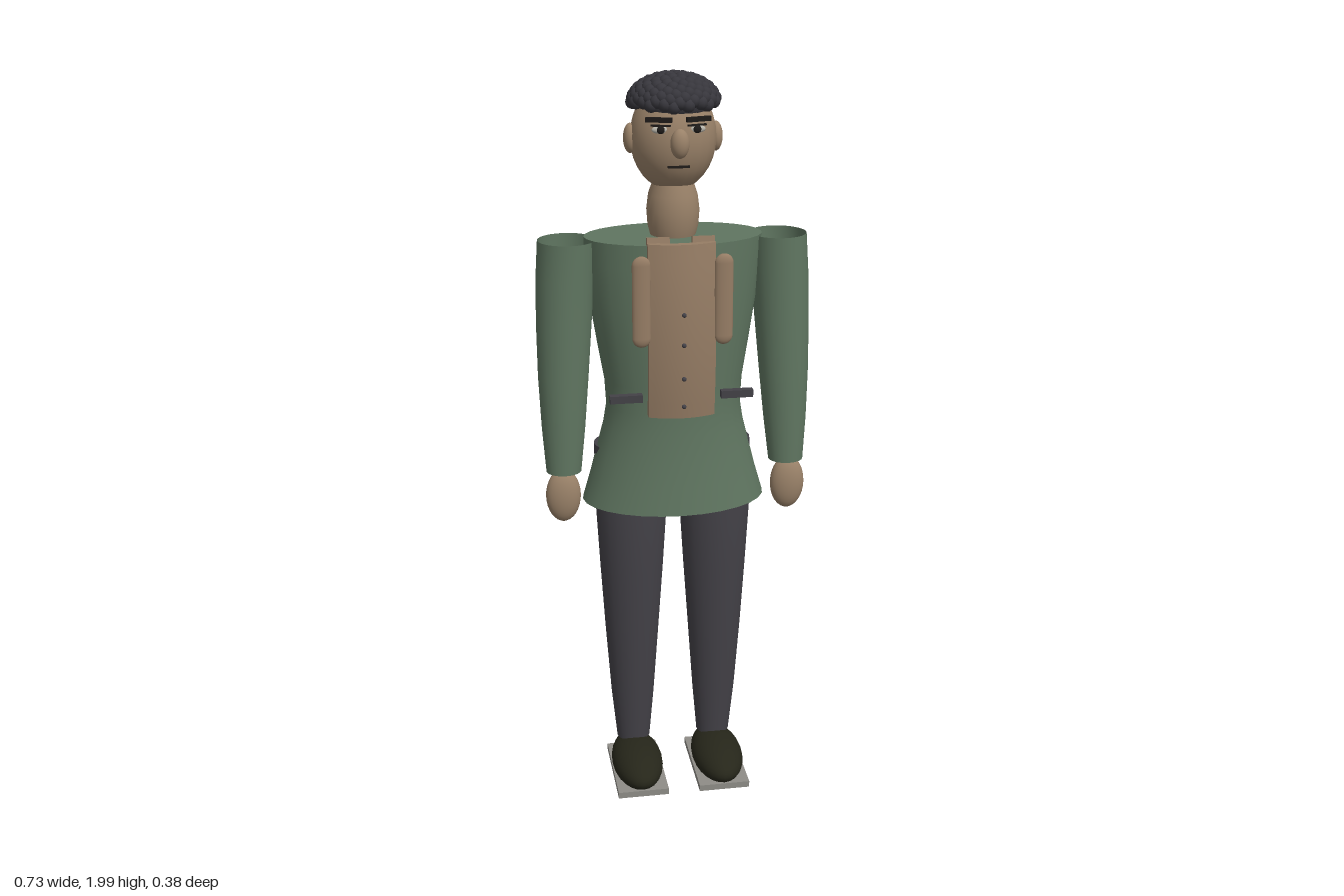
import * as THREE from 'three';

const mat = (name, color, side = THREE.FrontSide) => {
  const m = new THREE.MeshStandardMaterial({ color, side });
  m.name = name;
  return m;
};

// Smooth skin through elliptical rings [y, rx, rz, cx, cz], listed bottom to top
function loft(rings, seg = 28, capped = true) {
  const pos = [], idx = [];
  const addRing = ([y, rx, rz, cx, cz]) => {
    for (let i = 0; i < seg; i++) {
      const a = (i / seg) * Math.PI * 2;
      pos.push(cx + rx * Math.sin(a), y, cz + rz * Math.cos(a));
    }
  };
  rings.forEach(addRing);
  for (let r = 0; r < rings.length - 1; r++) {
    for (let i = 0; i < seg; i++) {
      const a = r * seg + i, b = r * seg + (i + 1) % seg;
      idx.push(a, b, b + seg, a, b + seg, a + seg);
    }
  }
  if (capped) {
    [rings[0], rings[rings.length - 1]].forEach((ring, top) => {
      const start = pos.length / 3;
      addRing(ring);
      pos.push(ring[3], ring[0], ring[4]);
      for (let i = 0; i < seg; i++) {
        const a = start + i, b = start + (i + 1) % seg;
        idx.push(start + seg, ...(top ? [a, b] : [b, a]));
      }
    });
  }
  const g = new THREE.BufferGeometry();
  g.setAttribute('position', new THREE.Float32BufferAttribute(pos, 3));
  g.setIndex(idx);
  g.computeVertexNormals();
  return g;
}

export function createModel() {
  const model = new THREE.Group();
  model.name = 'standingMan';

  const green = mat('coatGreen', 0x5f7560);
  const sleeveGreen = green.clone();
  sleeveGreen.side = THREE.DoubleSide;
  const skin = mat('skin', 0x9a8269);
  const tan = mat('shirtTan', 0x967d65);
  const charcoal = mat('trouserCharcoal', 0x434147);
  const hairMat = mat('hairBlack', 0x37363c);
  const dark = mat('featureDark', 0x1e1b19);
  const shoeMat = mat('shoeBrown', 0x26261a);
  const soleMat = mat('soleGrey', 0x8e8c87);
  const white = mat('eyeWhite', 0xb9b6ac);

  const add = (name, geo, material, x = 0, y = 0, z = 0, parent = model) => {
    const m = new THREE.Mesh(geo, material);
    m.name = name;
    m.position.set(x, y, z);
    parent.add(m);
    return m;
  };
  const ball = (name, material, [rx, ry, rz], x, y, z, parent = model) => {
    const m = add(name, new THREE.SphereGeometry(1, 24, 16), material, x, y, z, parent);
    m.scale.set(rx, ry, rz);
    return m;
  };

  // Flared coat
  add('coat', loft([
    [0.855, 0.25, 0.165, 0, -0.025],
    [0.93, 0.228, 0.155, 0, -0.025],
    [1.0, 0.21, 0.146, 0, -0.025],
    [1.07, 0.192, 0.138, 0, -0.022],
    [1.13, 0.182, 0.133, 0, -0.02],
    [1.2, 0.186, 0.136, 0, -0.021],
    [1.3, 0.203, 0.145, 0, -0.026],
    [1.42, 0.222, 0.15, 0, -0.03],
    [1.52, 0.231, 0.145, 0, -0.027],
    [1.585, 0.234, 0.138, 0, -0.022],
  ]), green);

  // Neck and head
  add('neck', loft([
    [1.58, 0.058, 0.058, 0, -0.025],
    [1.61, 0.066, 0.067, 0, -0.025],
    [1.65, 0.069, 0.07, 0, -0.025],
    [1.69, 0.064, 0.066, 0, -0.025],
    [1.73, 0.05, 0.054, 0, -0.025],
  ]), skin);
  ball('head', skin, [0.111, 0.138, 0.1], 0, 1.837, -0.02);
  ball('nose', skin, [0.024, 0.037, 0.022], 0, 1.835, 0.086);
  add('mouth', new THREE.BoxGeometry(0.055, 0.006, 0.008), dark, 0, 1.775, 0.069);

  // Hair: small curls spread over a dome
  const hair = new THREE.Group();
  hair.name = 'hair';
  model.add(hair);
  ball('hairBase', hairMat, [0.1, 0.058, 0.1], 0.003, 1.922, -0.029, hair);
  const curl = new THREE.SphereGeometry(0.018, 10, 8);
  const curls = 130;
  for (let i = 0; i < curls; i++) {
    const h = 1 - (i + 0.5) / curls;
    const r = Math.sqrt(1 - h * h), a = i * 2.39996;
    add('curl', curl, hairMat, 0.003 + 0.105 * r * Math.cos(a),
      1.922 + 0.06 * h, -0.029 + 0.1 * r * Math.sin(a), hair);
  }

  // Bulging shirt front
  const panel = new THREE.BoxGeometry(0.174, 0.46, 0.022, 12, 12, 1);
  const p = panel.attributes.position;
  for (let i = 0; i < p.count; i++) {
    const u = p.getX(i) / 0.087, v = p.getY(i) / 0.23;
    p.setZ(i, p.getZ(i) + 0.02 * (1 - u * u) + 0.016 * (1 - v * v));
  }
  panel.computeVertexNormals();
  add('shirtFront', panel, tan, 0, 1.362, 0.108);
  for (const y of [1.415, 1.335, 1.245, 1.17]) {
    ball('button', charcoal, [0.006, 0.006, 0.005], 0, y, 0.157);
  }

  // Mirrored parts
  for (const s of [1, -1]) {
    const side = s > 0 ? 'left' : 'right';

    add(side + 'Sleeve', loft([
      [0.96, 0.047, 0.043, s * 0.304, 0.024],
      [1.08, 0.058, 0.053, s * 0.301, 0.014],
      [1.22, 0.067, 0.062, s * 0.297, 0.002],
      [1.36, 0.073, 0.07, s * 0.291, -0.01],
      [1.48, 0.076, 0.075, s * 0.285, -0.018],
      [1.58, 0.076, 0.076, s * 0.278, -0.02],
    ], 24, false), sleeveGreen);
    ball(side + 'Hand', skin, [0.047, 0.075, 0.03], s * 0.308, 0.893, 0.033);

    add(side + 'TrouserLeg', loft([
      [0.1, 0.047, 0.042, s * 0.117, -0.027],
      [0.25, 0.061, 0.053, s * 0.118, -0.026],
      [0.45, 0.075, 0.066, s * 0.118, -0.025],
      [0.65, 0.088, 0.076, s * 0.117, -0.025],
      [0.86, 0.1, 0.085, s * 0.116, -0.025],
      [1.01, 0.101, 0.085, s * 0.114, -0.04],
    ], 24), charcoal);

    ball(side + 'Shoe', shoeMat, [0.072, 0.053, 0.14], s * 0.117, 0.058, 0.048);
    add(side + 'Sole', new THREE.BoxGeometry(0.143, 0.018, 0.264), soleMat, s * 0.116, 0.026, 0.047);

    ball(side + 'Ear', skin, [0.018, 0.038, 0.024], s * 0.11, 1.835, -0.022);

    // Eye and brow follow the curve of the face
    ball(side + 'Eye', white, [0.022, 0.01, 0.008], s * 0.046, 1.868, 0.067);
    ball(side + 'Iris', dark, [0.01, 0.01, 0.006], s * 0.046, 1.868, 0.073);
    const lid = add(side + 'Eyelid', new THREE.BoxGeometry(0.05, 0.004, 0.008), dark, s * 0.046, 1.878, 0.07);
    const brow = add(side + 'Brow', new THREE.BoxGeometry(0.066, 0.012, 0.01), dark, s * 0.05, 1.892, 0.067);
    lid.rotation.y = brow.rotation.y = s * 0.3;

    // Lapel strip and collar tab
    add(side + 'Lapel', new THREE.CapsuleGeometry(0.024, 0.19, 6, 16), tan, s * 0.106, 1.447, 0.134)
      .scale.set(1, 1, 0.45);
    const tab = add(side + 'CollarTab', new THREE.BoxGeometry(0.058, 0.06, 0.016), tan, s * 0.058, 1.575, 0.103);
    tab.rotation.x = -0.2;

    // Pocket bar
    add(side + 'PocketBar', new THREE.BoxGeometry(0.085, 0.02, 0.02), charcoal, s * 0.146, 1.187, 0.118);
  }

  return model;
}
